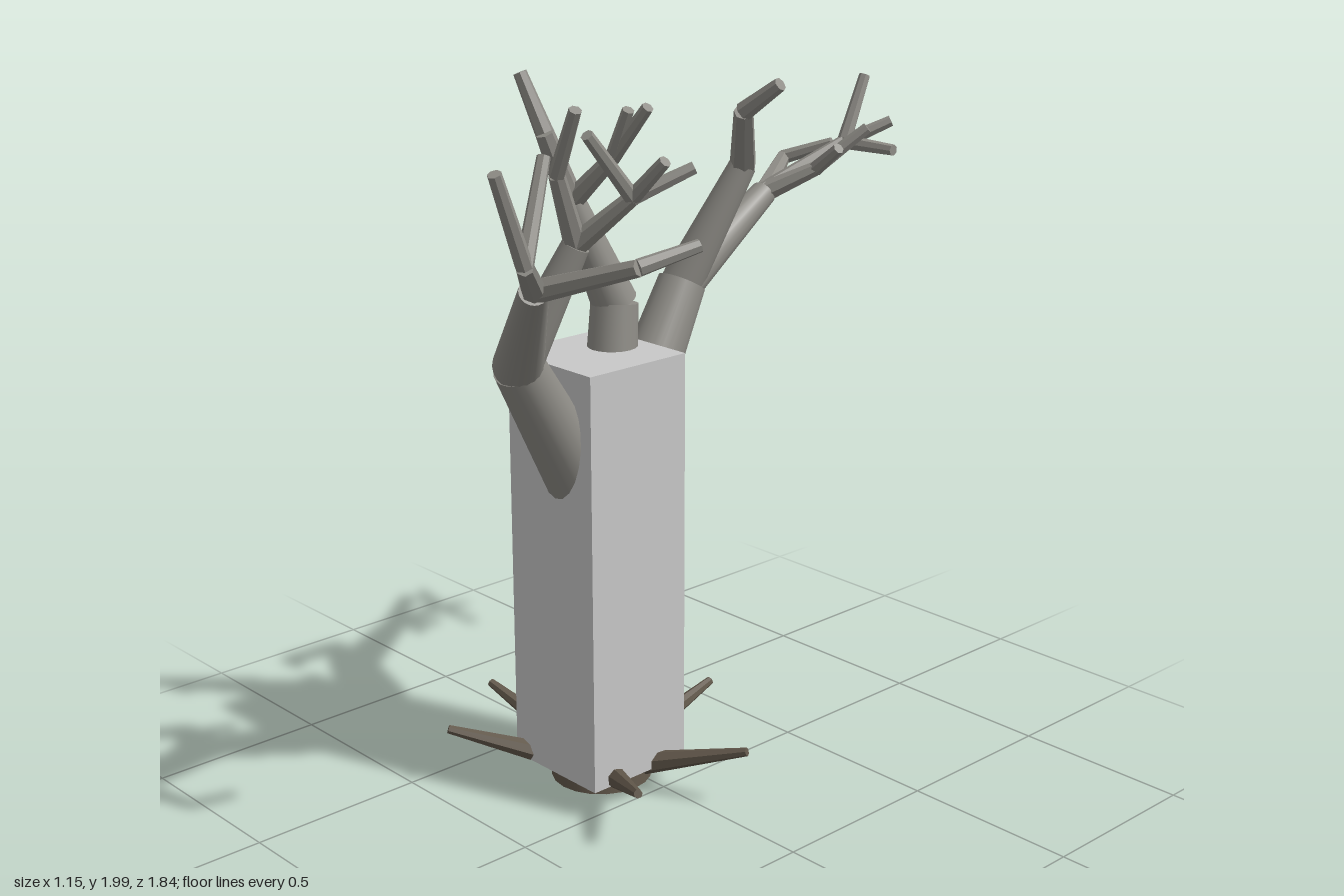
import * as THREE from 'three';

const UP = new THREE.Vector3(0, 1, 0);

// Tapered limb between two points; thin limbs are faceted, thick ones smooth
function limb(name, a, b, ra, rb, material) {
  const from = new THREE.Vector3(...a);
  const dir = new THREE.Vector3(...b).sub(from);
  const thin = ra < 0.05;
  let geo = new THREE.CylinderGeometry(rb, ra, dir.length(), thin ? 7 : 20);
  if (thin) {
    geo = geo.toNonIndexed();
    geo.computeVertexNormals();
  }
  const mesh = new THREE.Mesh(geo, material);
  mesh.name = name;
  mesh.position.copy(from).addScaledVector(dir, 0.5);
  mesh.quaternion.setFromUnitVectors(UP, dir.normalize());
  return mesh;
}

// Branch node: end point, start radius, end radius, child nodes
const node = (to, r0, r1, ...kids) => ({ to, r0, r1, kids });
const twig = (x, y, z) => node([x, y, z], 0.021, 0.016);
const fork = (x, y, z, ...kids) => node([x, y, z], 0.03, 0.021, ...kids);

function grow(group, from, n, material) {
  const name = n.r0 > 0.05 ? 'bough' : n.kids.length ? 'branch' : 'twig';
  group.add(limb(name, from, n.to, n.r0, n.r1, material));
  n.kids.forEach((k) => grow(group, n.to, k, material));
}

export function createModel() {
  const tree = new THREE.Group();
  tree.name = 'tree';
  const bark = new THREE.MeshStandardMaterial({ color: 0x8f8d87 });
  bark.name = 'grey bark';
  const rootBark = new THREE.MeshStandardMaterial({ color: 0x62584b, side: THREE.DoubleSide });
  rootBark.name = 'dark root bark';
  const pale = new THREE.MeshStandardMaterial({ color: 0xc8c8c8 });
  pale.name = 'pale grey';

  // Square column around the trunk
  const column = new THREE.Mesh(new THREE.BoxGeometry(0.33, 1.17, 0.33), pale);
  column.name = 'column';
  column.position.set(-0.152, 0.67, 0.1);
  tree.add(column);

  // Open trunk foot below the column
  const foot = new THREE.Mesh(new THREE.CylinderGeometry(0.135, 0.14, 0.07, 20, 1, true), rootBark);
  foot.name = 'trunkFoot';
  foot.position.set(-0.148, 0.069, 0.1);
  tree.add(foot);

  // Five roots fanning out from the centre
  const roots = new THREE.Group();
  roots.name = 'roots';
  const tips = [[-0.575, 0.152], [0.248, -0.078], [-0.415, 0.43], [0.225, 0.3], [-0.15, -0.325]];
  for (const [x, z] of tips) {
    roots.add(limb('root', [-0.15, 0.045, 0.1], [x, 0.178, z], 0.042, 0.012, rootBark));
  }
  tree.add(roots);

  // Front bough: a long outward arm and an upright arm
  const front = node([-0.07, 1.3, 0.43], 0.1, 0.067,
    node([0.23, 1.58, 0.62], 0.065, 0.036,
      fork(0.42, 1.7, 0.8, twig(0.45, 1.92, 0.9), twig(0.365, 1.92, 0.695)),
      fork(0.5, 1.67, 0.54, twig(0.56, 1.71, 0.41))),
    node([0.04, 1.61, 0.33], 0.06, 0.036,
      fork(0.08, 1.8, 0.42, twig(0.18, 1.97, 0.445)),
      fork(0.18, 1.74, 0.27, twig(0.27, 1.81, 0.15), twig(0.28, 1.84, 0.255), twig(0.19, 1.91, 0.42))));

  // Back bough: a long outward arm and a hooked arm
  const back = node([-0.185, 1.38, -0.24], 0.1, 0.067,
    node([-0.2, 1.58, -0.57], 0.06, 0.036,
      fork(-0.31, 1.64, -0.76, twig(-0.185, 1.69, -0.83)),
      fork(-0.13, 1.7, -0.82, twig(-0.135, 1.88, -0.905), twig(-0.04, 1.76, -0.915), twig(0.05, 1.7, -0.825)),
      fork(-0.09, 1.65, -0.66, twig(0.01, 1.765, -0.76), twig(0, 1.72, -0.655))),
    node([-0.085, 1.7, -0.37], 0.058, 0.037,
      node([0.03, 1.87, -0.255], 0.036, 0.026,
        node([0.14, 1.95, -0.275], 0.026, 0.019))));

  // Top bough rising through the column
  const top = node([-0.18, 1.37, 0.01], 0.075, 0.064,
    node([-0.21, 1.65, 0.13], 0.062, 0.038,
      node([-0.21, 1.84, 0.215], 0.036, 0.025, node([-0.26, 1.99, 0.25], 0.025, 0.018)),
      fork(-0.08, 1.78, 0.1, twig(0.04, 1.92, 0.09), twig(-0.01, 1.91, 0.11))));

  const starts = { frontBough: [[-0.15, 0.81, 0.1], front], backBough: [[-0.15, 0.81, 0.1], back], topBough: [[-0.16, 1.05, 0.05], top] };
  for (const [name, [from, root]] of Object.entries(starts)) {
    const group = new THREE.Group();
    group.name = name;
    grow(group, from, root, bark);
    tree.add(group);
  }
  return tree;
}
